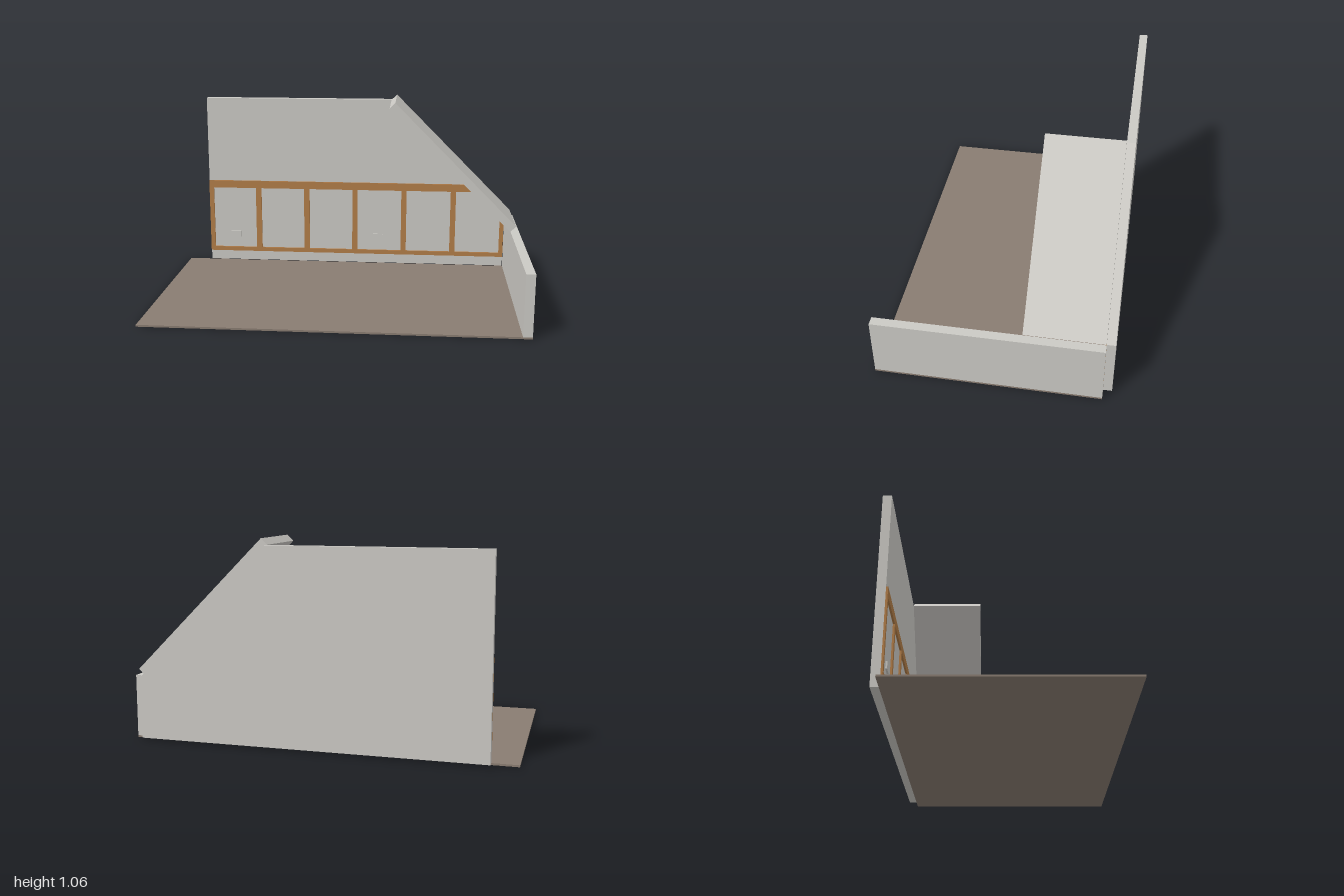
import * as THREE from 'three';

const material = (name, color) => {
  const m = new THREE.MeshStandardMaterial({ color });
  m.name = name;
  return m;
};

export function createModel() {
  const model = new THREE.Group();
  model.name = 'roomCorner';
  const plaster = material('plaster', 0xcbc9c4);
  const wood = material('wood', 0xb27d48);
  const carpet = material('carpet', 0x897c71);

  // Box given by its lower and upper corners
  const box = (name, mat, [x0, y0, z0], [x1, y1, z1]) => {
    const mesh = new THREE.Mesh(new THREE.BoxGeometry(x1 - x0, y1 - y0, z1 - z0), mat);
    mesh.position.set((x0 + x1) / 2, (y0 + y1) / 2, (z0 + z1) / 2);
    mesh.name = name;
    model.add(mesh);
  };

  // Outline in the x-y plane, with optional holes, extruded from z0 to z1
  const vectors = (points) => points.map(([x, y]) => new THREE.Vector2(x, y));
  const slab = (name, mat, outline, z0, z1, holes = []) => {
    const shape = new THREE.Shape(vectors(outline));
    holes.forEach((h) => shape.holes.push(new THREE.Path(vectors(h))));
    const geometry = new THREE.ExtrudeGeometry(shape, { depth: z1 - z0, bevelEnabled: false });
    geometry.translate(0, 0, z0);
    const mesh = new THREE.Mesh(geometry, mat);
    mesh.name = name;
    model.add(mesh);
  };

  const wallFront = -0.555;
  box('floor', carpet, [-1, 0, wallFront], [1, 0.01, 0.6]);
  box('kneeWall', plaster, [0.952, 0.01, wallFront], [1, 0.336, 0.6]);

  // Gable wall with one sloping edge
  slab('backWall', plaster,
    [[-0.865, 0.012], [0.95, 0.012], [0.95, 0.337], [0.258, 1.03], [-0.865, 1.03]], -0.6, wallFront);

  // Piece of sloping ceiling
  slab('slopedCeiling', plaster,
    [[0.258, 1.03], [0.949, 0.338], [0.981, 0.37], [0.29, 1.062]], wallFront, -0.155);

  // Timber trim: one board with a hole for every panel
  const posts = [[-0.865, -0.838], [-0.574, -0.54], [-0.274, -0.24], [0.025, 0.057], [0.325, 0.357], [0.625, 0.657]];
  const low = 0.095, high = 0.475;
  const panels = posts.map(([, left], i) => {
    if (i < posts.length - 1) {
      const right = posts[i + 1][0];
      return [[left, low], [left, high], [right, high], [right, low]];
    }
    return [[left, low], [left, high], [0.77, high], [0.926, 0.32], [0.926, low]];
  });
  slab('wallTrim', wood,
    [[-0.865, 0.07], [0.95, 0.07], [0.95, 0.337], [0.768, 0.52], [-0.865, 0.52]],
    wallFront, -0.545, panels);

  // Wall sockets
  for (const x of [-0.705, 0.182]) {
    box('socket', plaster, [x - 0.03, 0.16, wallFront], [x + 0.03, 0.197, -0.546]);
  }

  return model;
}
